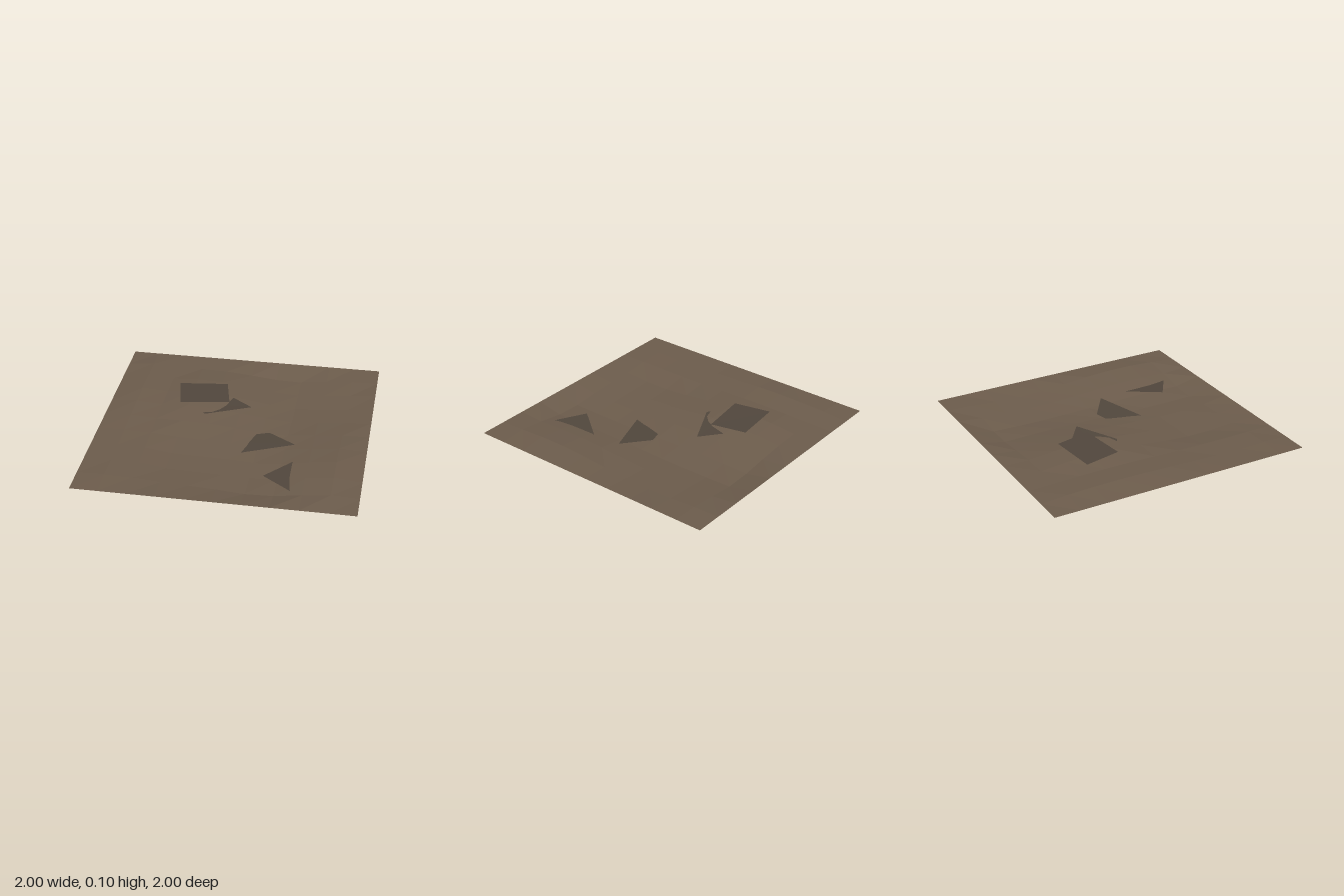
import * as THREE from 'three';

const groundMaterial = new THREE.MeshStandardMaterial({ color: 0x6b5b4b, flatShading: true, side: THREE.DoubleSide });
const slabMaterial = new THREE.MeshStandardMaterial({ color: 0x50463c, flatShading: true, side: THREE.DoubleSide });

// Mean height and swell of each interior column of the ground, from -x to +x
const MEAN = [0.072, 0.063, 0.058, 0.052, 0.036, 0.016, 0.014, 0.04, 0.06];
const SWELL = [0.012, 0.006, 0.03, 0.03, 0.018, 0.008, -0.008, -0.018, -0.024];
const RIM = 0.06;

function groundHeight(x, z) {
  if (Math.max(Math.abs(x), Math.abs(z)) > 0.95) return RIM;
  const column = Math.round((x + 0.8) / 0.2);
  return MEAN[column] + SWELL[column] * Math.cos(3.5 * (z + 0.4));
}

// Square patch of uneven earth with a level rim
function createGround() {
  const geometry = new THREE.PlaneGeometry(2, 2, 10, 10).rotateX(-Math.PI / 2);
  const position = geometry.attributes.position;
  for (let i = 0; i < position.count; i++) {
    position.setY(i, groundHeight(position.getX(i), position.getZ(i)));
  }
  geometry.computeVertexNormals();
  const ground = new THREE.Mesh(geometry, groundMaterial);
  ground.name = 'ground';
  return ground;
}

// Thin four-cornered slab, corners counter-clockwise from above
function createSlab(name, corners) {
  const geometry = new THREE.BufferGeometry();
  geometry.setAttribute('position', new THREE.Float32BufferAttribute(corners.flat(), 3));
  geometry.setIndex([0, 1, 2, 0, 2, 3]);
  geometry.computeVertexNormals();
  const slab = new THREE.Mesh(geometry, slabMaterial);
  slab.name = name;
  return slab;
}

export function createModel() {
  const model = new THREE.Group();
  model.name = 'groundPatch';
  model.add(
    createGround(),
    // Slab lying on the rise
    createSlab('topSlab', [[-0.52, 0.092, -0.5], [-0.46, 0.092, -0.22], [-0.09, 0.095, -0.27], [-0.15, 0.096, -0.54]]),
    // Slabs half sunk in the earth
    createSlab('backSlab', [[0.08, 0.068, -0.27], [-0.13, 0.064, -0.43], [-0.5, 0.06, -0.28], [-0.25, 0.072, -0.11]]),
    createSlab('middleSlab', [[0.47, 0.036, 0.15], [0.26, 0.024, 0.0], [-0.24, 0, 0.15], [0.04, 0.014, 0.31]]),
    createSlab('frontSlab', [[0.69, 0.022, 0.57], [0.48, 0.036, 0.38], [0.3, 0.05, 0.61], [0.53, 0.036, 0.76]]),
  );
  return model;
}
